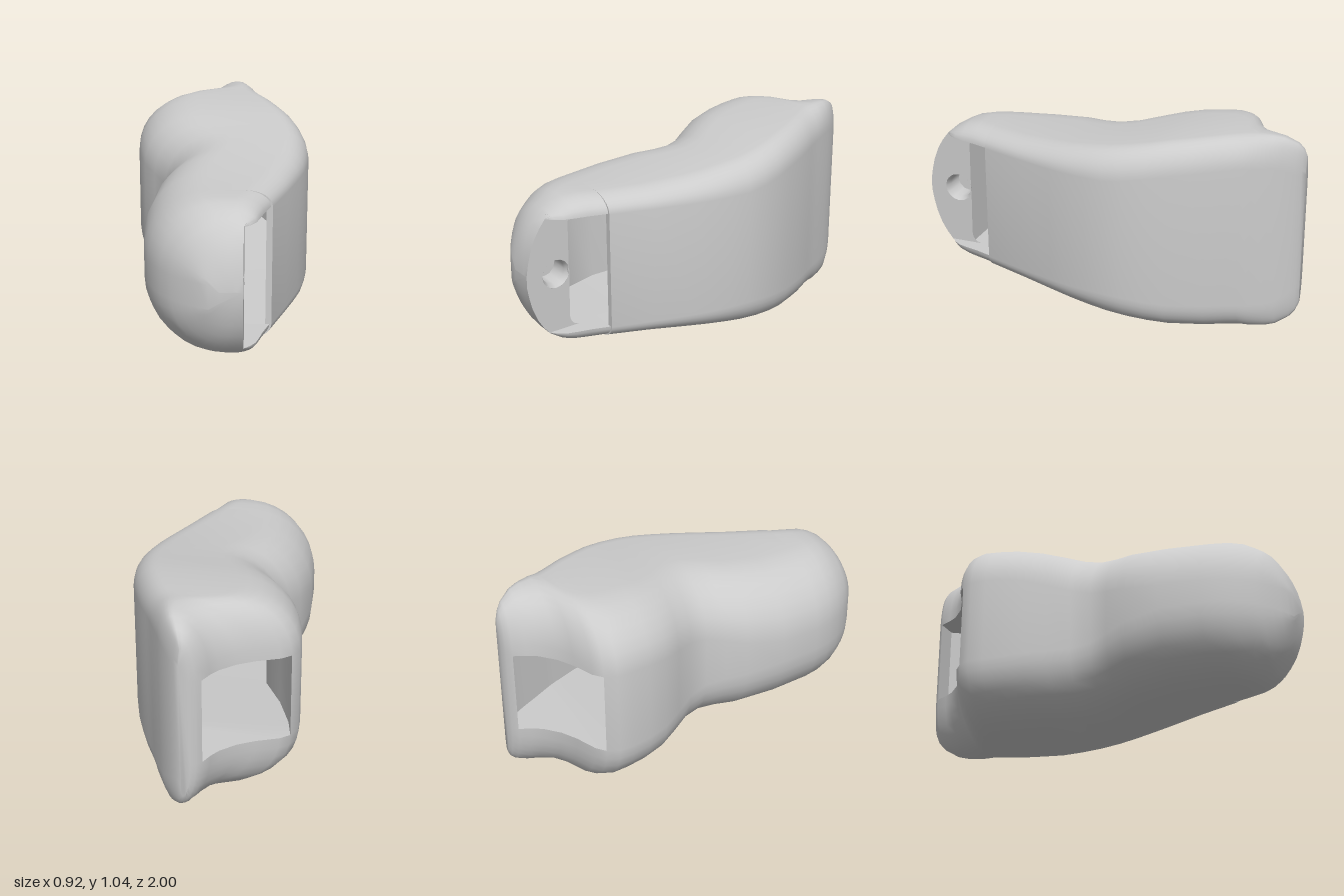
import * as THREE from 'three';
import { toCreasedNormals } from 'three/addons/utils/BufferGeometryUtils.js';

const CY = 0.522;      // middle height
const POCKET = 0.305;  // half height of the front pocket
const VENT = 0.22;     // half height of the rear opening
const FACE_X = 0.15;   // flat face inside the pocket
const N = 8;           // steps per rounded corner

// Body stations: z, left x, right x, half height
const BODY = [
  [-1, -0.025, 0.025, 0.40], [-0.985, -0.05, 0.05, 0.44], [-0.96, -0.075, 0.08, 0.47],
  [-0.9, -0.1, 0.13, 0.505], [-0.85, -0.13, 0.16, 0.516], [-0.78, -0.2, 0.2, 0.52],
  [-0.73, -0.28, 0.225, 0.518], [-0.68, -0.39, 0.252, 0.515], [-0.64, -0.435, 0.275, 0.513],
  [-0.58, -0.462, 0.31, 0.51], [-0.5, -0.458, 0.35, 0.503], [-0.4, -0.44, 0.395, 0.495],
  [-0.3, -0.41, 0.43, 0.48], [-0.2, -0.35, 0.452, 0.465], [-0.1, -0.285, 0.46, 0.45],
  [0, -0.262, 0.45, 0.437], [0.1, -0.29, 0.435, 0.423], [0.2, -0.33, 0.41, 0.412],
  [0.4, -0.355, 0.35, 0.394], [0.61, -0.335, 0.28, 0.386], [0.61, -0.335, 0.27, 0.386],
  [0.7, -0.31, 0.24, 0.386], [0.77, -0.277, 0.222, 0.379], [0.82, -0.245, 0.207, 0.36],
  [0.86, -0.21, 0.18, 0.335], [0.885, -0.185, 0.15, 0.31], [0.92, -0.14, 0.15, 0.265],
  [0.95, -0.095, 0.15, 0.215], [0.975, -0.05, 0.15, 0.15], [0.99, -0.01, 0.15, 0.09],
  [1, 0.04, 0.15, 0.03],
];
const FRONT = 20; // first station of the pocket

// Inner duct stations: z, left x, right x, half height
const DUCT = [
  [-0.96, -0.075, 0.03, VENT], [-0.9, -0.1, 0.07, VENT], [-0.85, -0.13, 0.1, VENT],
  [-0.78, -0.2, 0.14, VENT], [-0.73, -0.28, 0.17, VENT], [-0.68, -0.39, 0.2, VENT],
  [-0.64, -0.435, 0.22, VENT], [-0.5, -0.4, 0.3, 0.235], [-0.3, -0.32, 0.38, 0.25],
  [-0.1, -0.21, 0.4, 0.265], [0.1, -0.21, 0.38, 0.28], [0.4, -0.24, 0.31, 0.295],
  [0.61, -0.2, 0.25, POCKET], [0.61, -0.2, FACE_X, POCKET], [0.77, -0.05, FACE_X, POCKET],
];

// Joins closed rings of [x, y, z] points; skip(i, j) leaves a cell open
function loft(rings, skip, capStart, capEnd) {
  const pos = [];
  const tri = (a, b, c) => pos.push(...a, ...b, ...c);
  const n = rings[0].length;
  for (let i = 0; i < rings.length - 1; i++) {
    for (let j = 0; j < n; j++) {
      if (skip(i, j)) continue;
      const k = (j + 1) % n;
      const [a, b, c, d] = [rings[i][j], rings[i][k], rings[i + 1][k], rings[i + 1][j]];
      tri(a, b, c);
      tri(a, c, d);
    }
  }
  const cap = (r, flip) => {
    for (let j = 1; j < n - 1; j++) flip ? tri(r[0], r[j + 1], r[j]) : tri(r[0], r[j], r[j + 1]);
  };
  if (capStart) cap(rings[0], true);
  if (capEnd) cap(rings[rings.length - 1], false);
  const g = new THREE.BufferGeometry();
  g.setAttribute('position', new THREE.Float32BufferAttribute(pos, 3));
  return toCreasedNormals(g, 0.7);
}

// D-shaped section: tight corners on the right, wide ones on the left
function bodyRing([z, xl, xr, h], i) {
  const w = xr - xl;
  const ax = Math.min(0.32, 0.72 * w);
  const t = THREE.MathUtils.smoothstep(z, -0.5, 0.5);
  const ay = h - Math.min(h * 0.9, THREE.MathUtils.lerp(VENT, 0.06, t));
  const bx = z > 0.88 ? 0 : Math.min(0.13, 0.25 * w);
  const by = i >= FRONT ? Math.max(0, h - POCKET) : Math.min(h - POCKET, 0.15);
  const flatX = i >= FRONT ? FACE_X : xr;
  const upper = [[flatX, h - by]];
  for (let k = 0; k <= N; k++) {
    const a = (k / N) * Math.PI / 2;
    upper.push([xr - bx + bx * Math.cos(a), h - by + by * Math.sin(a)]);
  }
  for (let k = 0; k <= N; k++) {
    const a = (k / N) * Math.PI / 2;
    upper.push([xl + ax - ax * Math.sin(a), h - ay + ay * Math.cos(a)]);
  }
  const lower = upper.map(([x, y]) => [x, -y]).reverse();
  return [...upper, ...lower].map(([x, y]) => [x, y + CY, z]);
}

export function createModel() {
  const group = new THREE.Group();
  const material = new THREE.MeshStandardMaterial({ color: 0xcccccc, side: THREE.DoubleSide });
  const add = (name, geometry) => {
    const mesh = new THREE.Mesh(geometry, material);
    mesh.name = name;
    group.add(mesh);
    return mesh;
  };

  // Outer shell, open at the rear vent and along the pocket
  const leftCell = 2 * N + 2, rightCell = 4 * N + 5;
  add('outerShell', loft(BODY.map(bodyRing), (i, j) =>
    (j === leftCell && BODY[i][0] >= -0.96 && BODY[i + 1][0] <= -0.64) ||
    (j === rightCell && i >= FRONT - 1), true, true));

  // Rectangular air duct; wound so its faces look inward
  const ductRings = DUCT.map(([z, l, r, h]) =>
    [[r, CY + h, z], [r, CY - h, z], [l, CY - h, z], [l, CY + h, z]]);
  add('innerDuct', loft(ductRings, (i, j) =>
    (j === 2 && DUCT[i + 1][0] <= -0.64) || (j === 0 && DUCT[i][0] >= 0.61) ||
    DUCT[i][0] === DUCT[i + 1][0], true, true));

  // Edge of the side wall at the pocket
  const rim = add('pocketRim', new THREE.PlaneGeometry(0.03, 2 * POCKET));
  rim.position.set(0.265, CY, 0.61);

  // Flat pocket face with a screw hole, drawn in (-z, y)
  const face = new THREE.Shape();
  face.moveTo(-0.71, POCKET);
  face.quadraticCurveTo(-0.765, POCKET, -0.765, POCKET - 0.06);
  face.lineTo(-0.77, 0.06 - POCKET);
  face.quadraticCurveTo(-0.765, -POCKET, -0.71, -POCKET);
  const edge = BODY.filter(([z]) => z >= 0.77).map(([z, , , h]) => [-z, Math.min(POCKET, h)]);
  edge.forEach(([u, h]) => face.lineTo(u, -h));
  edge.reverse().forEach(([u, h]) => face.lineTo(u, h));
  const hole = new THREE.Path();
  hole.absarc(-0.84, 0.003, 0.075, 0, Math.PI * 2, true);
  face.holes.push(hole);
  const plate = add('pocketFace', new THREE.ShapeGeometry(face, 8));
  plate.rotation.y = Math.PI / 2;
  plate.position.set(FACE_X, CY, 0);

  // Blind screw hole
  const profile = [[0.076, 0], [0.062, -0.03], [0.062, -0.12], [0, -0.12]];
  const screw = add('screwHole', toCreasedNormals(
    new THREE.LatheGeometry(profile.map(([r, y]) => new THREE.Vector2(r, y)), 12), 0.7));
  screw.rotation.z = -Math.PI / 2;
  screw.position.set(FACE_X, CY + 0.003, 0.84);

  return group;
}
